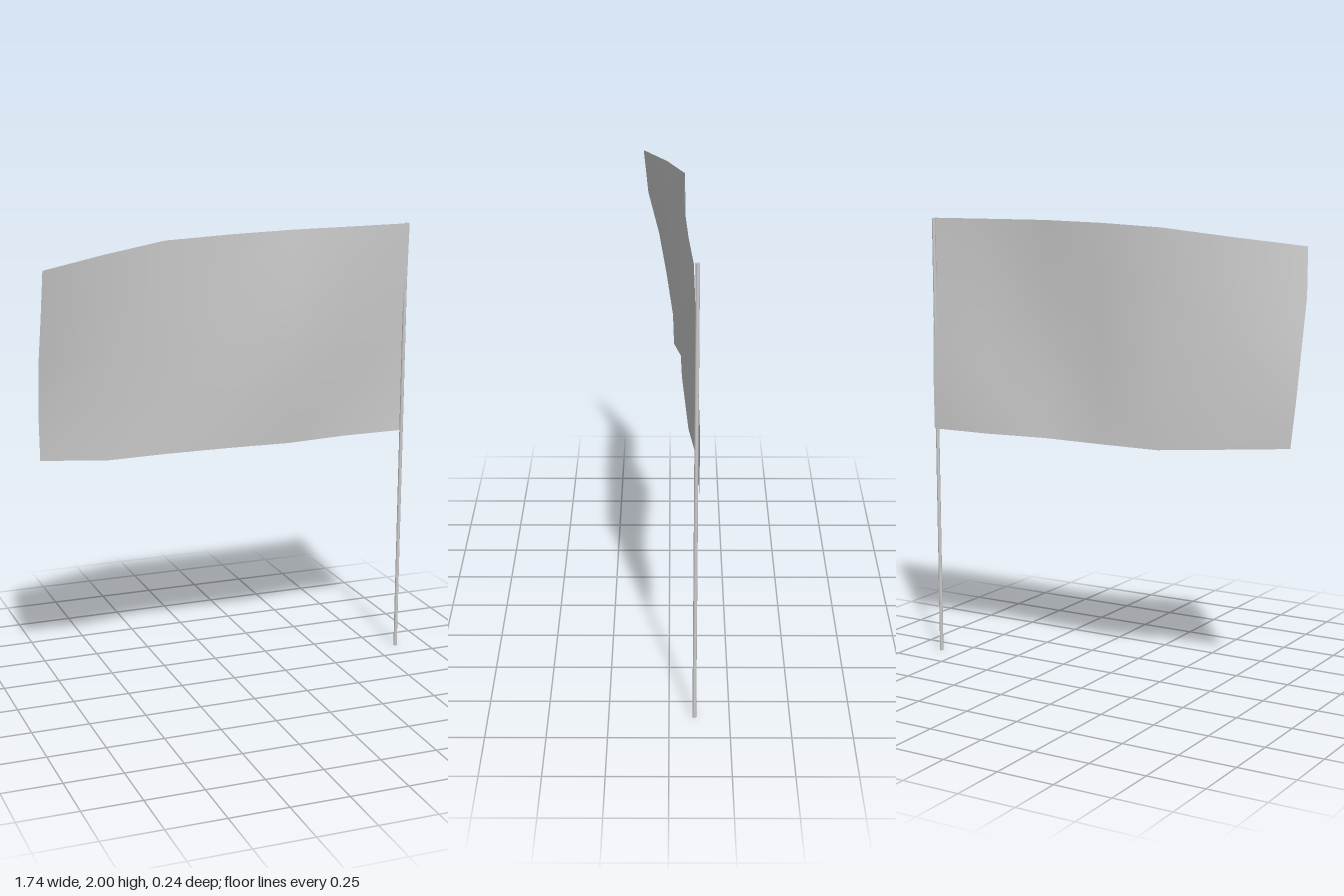
import * as THREE from 'three';

const material = new THREE.MeshStandardMaterial({ color: 0xcccccc });

// Columns of the cloth from the free end to the pole:
// bottom height, top height, then depth at five rows from bottom to top
const COLUMNS = [
  [1.095, 1.91, -0.015, 0.015, 0.05, 0.1, 0.12],
  [1.067, 1.945, -0.02, -0.015, -0.005, 0.005, 0.01],
  [1.05, 1.98, -0.095, -0.09, -0.08, -0.07, -0.065],
  [1.05, 1.993, -0.093, -0.08, -0.07, -0.064, -0.06],
  [1.05, 2.0, -0.08, -0.052, -0.04, -0.045, -0.062],
  [1.05, 2.0, -0.114, -0.1, -0.085, -0.077, -0.073],
  [1.05, 2.0, -0.117, -0.119, -0.11, -0.1, -0.09],
];

function makeCloth() {
  const cols = COLUMNS.length - 1;
  const rows = 4;
  const geometry = new THREE.PlaneGeometry(1, 1, cols, rows);
  const pos = geometry.attributes.position;
  for (let r = 0; r <= rows; r++) {
    for (let c = 0; c <= cols; c++) {
      const [low, high, ...depth] = COLUMNS[c];
      const t = 1 - r / rows;
      // The free edge bows slightly outwards
      const bow = c === 0 ? 0.012 * 4 * t * (1 - t) : 0;
      const x = THREE.MathUtils.lerp(-0.861, 0.864, c / cols) - bow;
      pos.setXYZ(r * (cols + 1) + c, x, THREE.MathUtils.lerp(low, high, t), depth[rows - r]);
    }
  }
  geometry.computeVertexNormals();
  const clothMaterial = material.clone();
  clothMaterial.side = THREE.DoubleSide;
  const cloth = new THREE.Mesh(geometry, clothMaterial);
  cloth.name = 'flagCloth';
  return cloth;
}

export function createModel() {
  const group = new THREE.Group();
  group.name = 'flag';

  // Slim pole along the hoist edge
  const pole = new THREE.Mesh(new THREE.CylinderGeometry(0.008, 0.008, 2, 12), material);
  pole.name = 'pole';
  pole.position.set(0.857, 1, -0.105);

  group.add(pole, makeCloth());
  return group;
}
